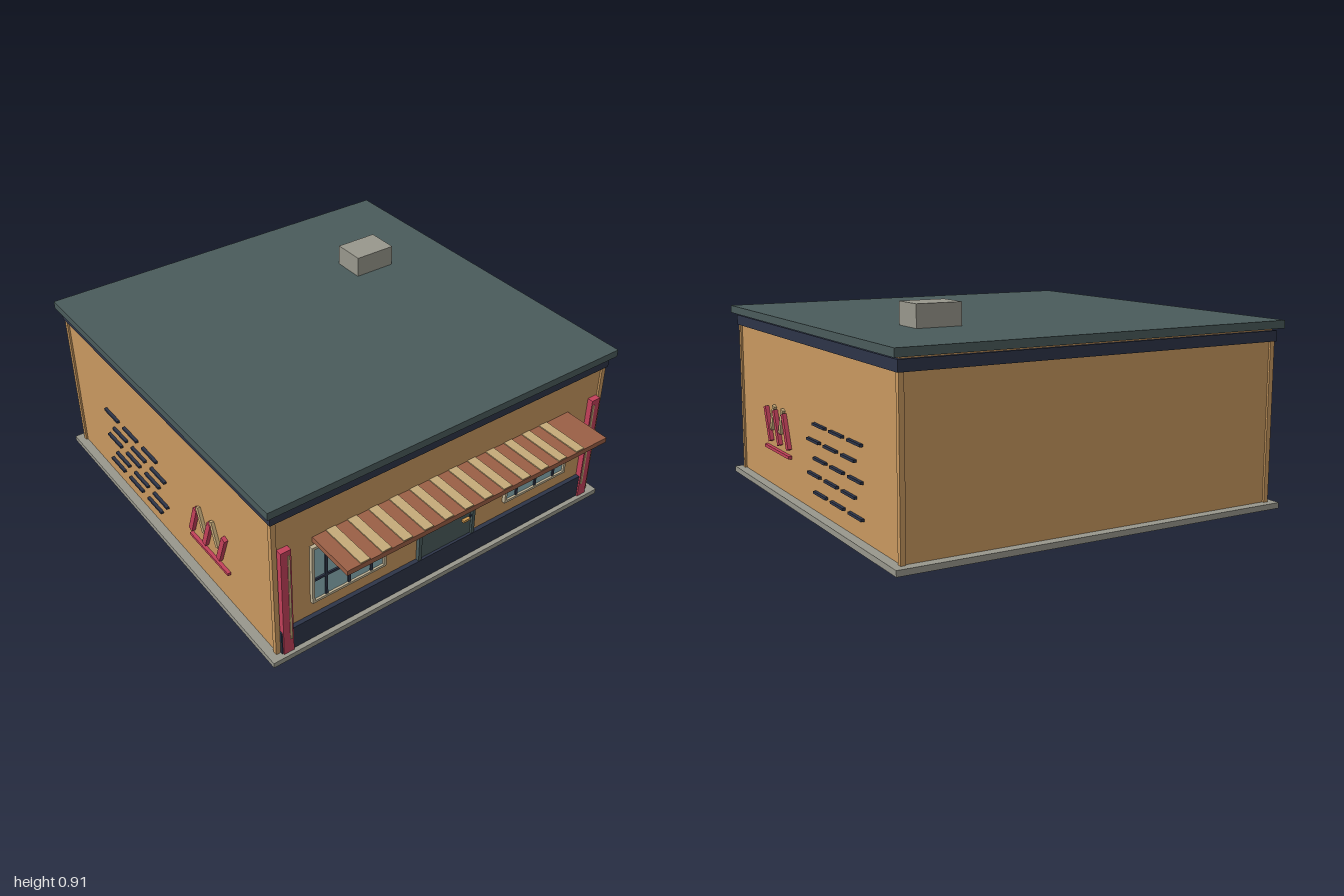
import * as THREE from 'three';

const paint = (name, color) => {
  const m = new THREE.MeshStandardMaterial({ color });
  m.name = name;
  return m;
};

export function createModel() {
  const wall = paint('ochre wall', 0xc8985f);
  const slate = paint('slate green', 0x4a5b5b);
  const navy = paint('navy', 0x2d3448);
  const red = paint('raspberry red', 0xc2405a);
  const glass = paint('window glass', 0x8cb1b6);
  const cream = paint('cream', 0xc5aa79);
  const frameMat = paint('pale window frame', 0xbfb294);
  const brown = paint('terracotta awning', 0x9a5f45);
  const grey = paint('concrete grey', 0x98978c);
  const brass = paint('brass', 0xd09a50);

  const model = new THREE.Group();
  model.name = 'shop';

  // Box given by its two extents on each axis
  const box = (name, mat, [x0, x1], [y0, y1], [z0, z1], parent = model) => {
    const mesh = new THREE.Mesh(new THREE.BoxGeometry(x1 - x0, y1 - y0, z1 - z0), mat);
    mesh.position.set((x0 + x1) / 2, (y0 + y1) / 2, (z0 + z1) / 2);
    mesh.name = name;
    parent.add(mesh);
    return mesh;
  };
  const group = (name) => {
    const g = new THREE.Group();
    g.name = name;
    model.add(g);
    return g;
  };
  const CZ = -0.092; // centre of the building in z
  const square = (h) => [[-h, h], [CZ - h, CZ + h]];
  const slab = (name, mat, h, y) => box(name, mat, square(h)[0], y, square(h)[1]);

  // Main body
  slab('foundation', grey, 0.907, [0, 0.025]);
  slab('walls', wall, 0.865, [0.025, 0.776]);
  slab('corniceBand', navy, 0.88, [0.72, 0.766]);
  slab('roof', slate, 0.902, [0.776, 0.81]);
  box('roofVent', grey, [0.373, 0.577], [0.81, 0.907], [-0.513, -0.36]);

  // Corner trims
  for (const sx of [-1, 1]) for (const sz of [-1, 1]) {
    const post = box('cornerTrim', wall, [-0.011, 0.011], [0.025, 0.73], [-0.011, 0.011]);
    post.position.x = sx * 0.863;
    post.position.z = CZ + sz * 0.863;
  }

  // Front plinth and side pillars
  box('frontPlinth', navy, [-0.853, 0.853], [0.025, 0.14], [0.765, 0.793]);
  for (const s of [-1, 1]) {
    const pillar = group('frontPillar');
    pillar.position.x = s * 0.823;
    box('pillarBody', red, [-0.024, 0.024], [0.025, 0.573], [0.765, 0.8], pillar);
    const c = -s * 0.012;
    box('pillarStripe', cream, [c - 0.005, c + 0.005], [0.097, 0.547], [0.8, 0.803], pillar);
  }

  // Door
  const door = group('door');
  box('doorPanel', slate, [-0.14, 0.138], [0.025, 0.51], [0.765, 0.781], door);
  for (const s of [-1, 1]) {
    const x = s * 0.147 - 0.002;
    box('doorJamb', slate, [x - 0.008, x + 0.008], [0.025, 0.525], [0.765, 0.791], door);
  }
  box('doorLintel', slate, [-0.157, 0.153], [0.51, 0.526], [0.765, 0.791], door);
  box('doorHandle', brass, [0.085, 0.122], [0.229, 0.24], [0.781, 0.795], door);
  for (const y of [0.24, 0.29]) box('doorLock', navy, [0.129, 0.137], [y - 0.006, y + 0.006], [0.781, 0.786], door);

  // Windows with muntins
  for (const x of [-0.515, 0.511]) {
    const w = group('window');
    w.position.x = x;
    for (const s of [-1, 1]) {
      box('frameSide', frameMat, [s * 0.178 - 0.006, s * 0.178 + 0.006], [0.213, 0.51], [0.768, 0.79], w);
      const y = 0.3615 + s * 0.1425;
      box('frameRail', frameMat, [-0.172, 0.172], [y - 0.006, y + 0.006], [0.768, 0.79], w);
    }
    box('pane', glass, [-0.172, 0.172], [0.225, 0.498], [0.77, 0.78], w);
    for (const m of [-0.112, 0, 0.112])
      box('muntin', navy, [m - 0.006, m + 0.006], [0.225, 0.498], [0.78, 0.786], w);
    box('crossbar', navy, [-0.172, 0.172], [0.326, 0.338], [0.78, 0.787], w);
  }

  // Striped awning
  const awning = group('awning');
  box('awningBoard', brown, [-0.685, 0.678], [0.528, 0.552], [0.77, 1], awning);
  for (let i = 0; i < 12; i++) {
    const x = -0.6 + i * 0.1022;
    box('awningStripe', cream, [x - 0.022, x + 0.022], [0.552, 0.557], [0.775, 0.998], awning);
  }

  // Side wall decoration, mirrored on both sides
  for (const s of [-1, 1]) {
    const deco = group('sideDecoration');
    const plate = (name, mat, z, y, wz, hy, top, tilt = 0) => {
      const mesh = box(name, mat, [-top / 2, top / 2], [-hy / 2, hy / 2], [-wz / 2, wz / 2], deco);
      mesh.position.set(s * (0.865 + top / 2), y, z);
      mesh.rotation.x = tilt;
    };
    // Slanted strokes over a bar
    for (const z of [0.396, 0.283, 0.171]) plate('redStroke', red, z, 0.306, 0.026, 0.16, 0.018, 0.36);
    for (const z of [0.34, 0.231]) plate('creamStroke', cream, z, 0.342, 0.022, 0.12, 0.014, -0.36);
    plate('strokeBar', red, 0.287, 0.198, 0.308, 0.014, 0.016);
    // Staggered brick dashes
    for (let row = 0; row < 5; row++) for (let col = 0; col < 3; col++) {
      const z = (row % 2 ? -0.147 : -0.211) - col * 0.18;
      plate('brickDash', navy, z, 0.109 + row * 0.0723, 0.128, 0.011, 0.014);
    }
  }
  return model;
}
